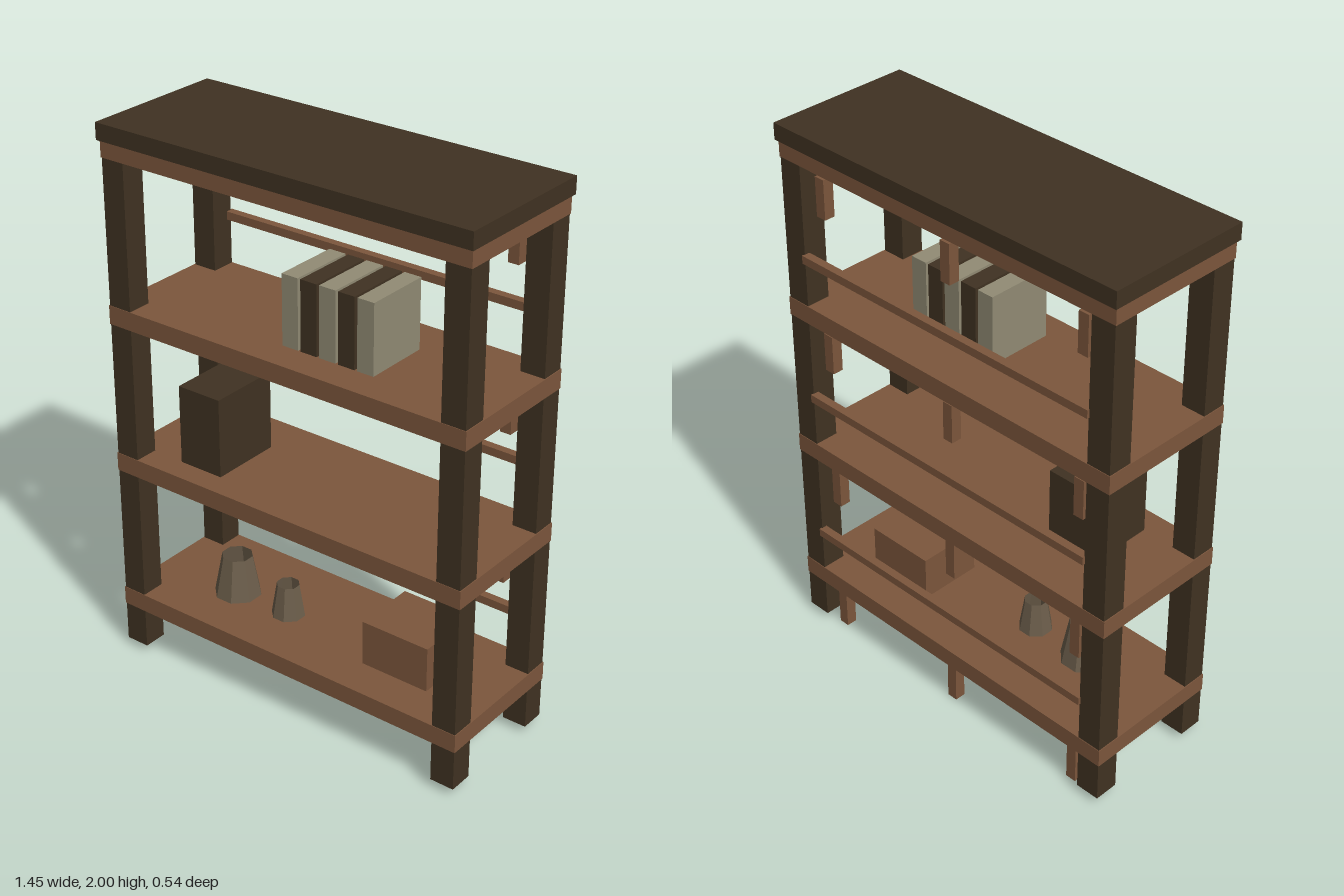
import * as THREE from 'three';

const mat = (name, color, extra = {}) => {
  const m = new THREE.MeshStandardMaterial({ color, ...extra });
  m.name = name;
  return m;
};

export function createModel() {
  const model = new THREE.Group();
  model.name = 'shelvingUnit';
  const darkWood = mat('darkWood', 0x403222);
  const wood = mat('warmWood', 0x7c563c);
  const paper = mat('paleKhaki', 0x918b74);
  const clay = mat('greyClay', 0x6b5d4a, { flatShading: true, side: THREE.DoubleSide });

  // Box given by its minimum and maximum on each axis
  const box = (name, material, [x0, x1], [y0, y1], [z0, z1]) => {
    const mesh = new THREE.Mesh(new THREE.BoxGeometry(x1 - x0, y1 - y0, z1 - z0), material);
    mesh.position.set((x0 + x1) / 2, (y0 + y1) / 2, (z0 + z1) / 2);
    mesh.name = name;
    model.add(mesh);
  };

  // Corner posts
  for (const x of [-0.672, 0.672]) {
    for (const z of [-0.215, 0.215]) {
      box('post', darkWood, [x - 0.045, x + 0.045], [0.03, 1.9], [z - 0.045, z + 0.045]);
    }
  }

  // Shelves, each with three hanging pegs below its back edge
  for (const y of [0.18, 0.73, 1.29, 1.88]) {
    box('shelf', wood, [-0.72, 0.72], [y, y + 0.068], [-0.262, 0.262]);
    for (const x of [-0.57, 0, 0.57]) {
      box('peg', wood, [x - 0.02, x + 0.02], [y - 0.18, y - 0.035], [-0.23, -0.19]);
    }
  }
  box('topSlab', darkWood, [-0.727, 0.727], [1.94, 2], [-0.272, 0.272]);

  // Back rails
  for (const y of [0.413, 0.993, 1.54]) {
    box('backRail', wood, [-0.63, 0.63], [y - 0.015, y + 0.015], [-0.27, -0.24]);
  }

  // Row of books in alternating colours
  for (let i = 0; i < 5; i++) {
    const x = -0.032 + i * 0.0745;
    box('book', i % 2 ? darkWood : paper, [x - 0.032, x + 0.032], [1.365, 1.616], [-0.09, 0.155]);
  }

  // Boxes on the lower shelves
  box('darkCrate', darkWood, [-0.5, -0.325], [0.798, 1.09], [-0.095, 0.175]);
  box('woodenBox', wood, [0.24, 0.505], [0.248, 0.415], [-0.12, 0.12]);

  // Open tapered pots with eight sides
  const pot = (x, z, rBase, rTop, height) => {
    const profile = [[0, 0.004], [rBase, 0.004], [rTop, height]];
    const points = profile.map(([r, y]) => new THREE.Vector2(r, y));
    const mesh = new THREE.Mesh(new THREE.LatheGeometry(points, 8, Math.PI / 8), clay);
    mesh.position.set(x, 0.248, z);
    mesh.name = 'pot';
    model.add(mesh);
  };
  pot(-0.375, 0.04, 0.086, 0.056, 0.16);
  pot(-0.145, 0.04, 0.061, 0.041, 0.128);

  return model;
}
